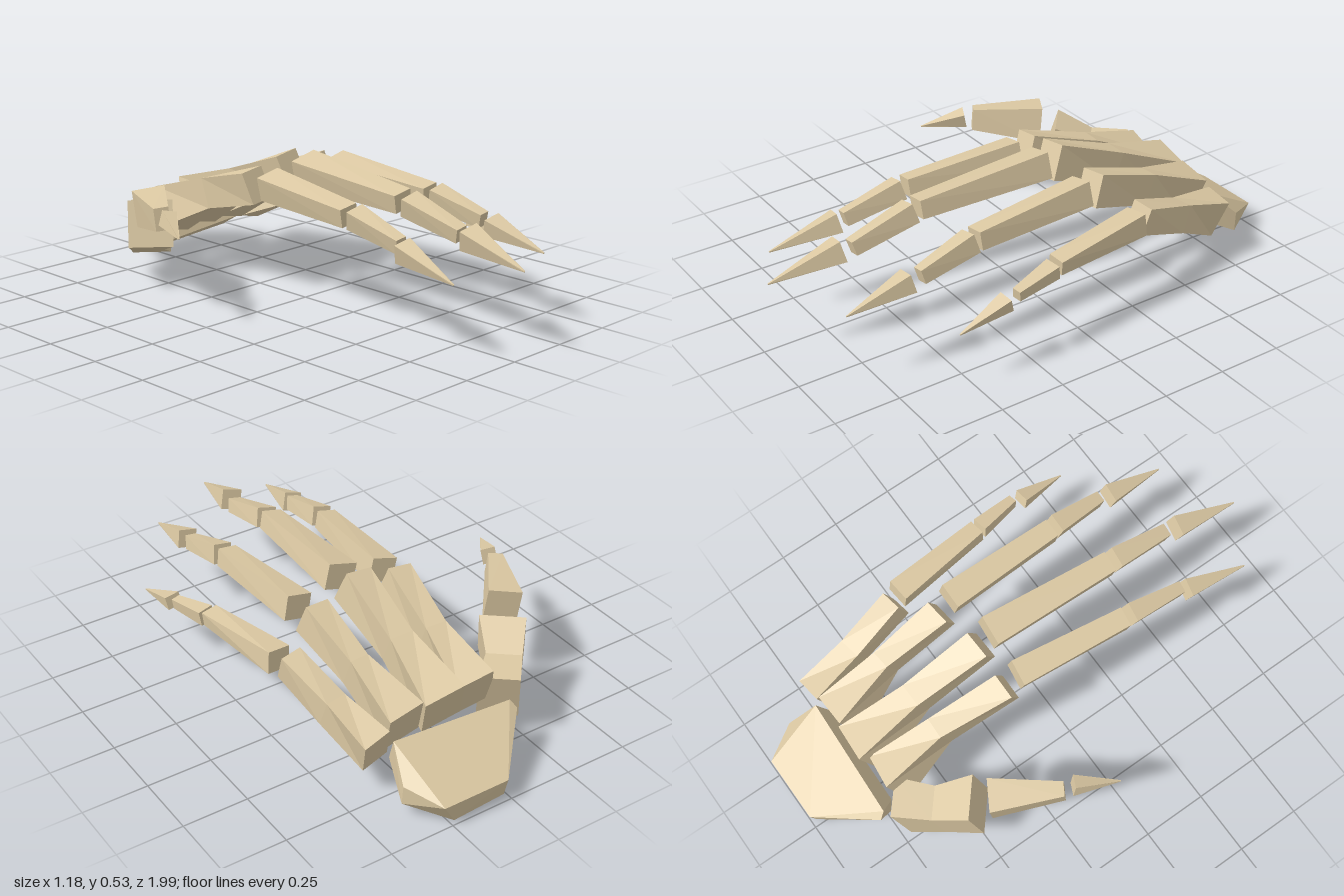
import * as THREE from 'three';
import { ConvexGeometry } from 'three/addons/geometries/ConvexGeometry.js';

const boneMaterial = new THREE.MeshStandardMaterial({ color: 0xdcc9a3, flatShading: true });
boneMaterial.name = 'bone';

// Four-sided loft; each section is [x, y, z, width, height, roll], set square to the bone
function bone(name, sections) {
  const centres = sections.map(s => new THREE.Vector3(s[0], s[1], s[2]));
  const dir = centres[centres.length - 1].clone().sub(centres[0]).normalize();
  const side = new THREE.Vector3(0, 1, 0).cross(dir).normalize();
  const up = dir.clone().cross(side);
  const rings = sections.map(([, , , w, h, roll = 0], i) =>
    [[1, 1], [-1, 1], [-1, -1], [1, -1]].map(([a, b]) => centres[i].clone().add(
      side.clone().multiplyScalar(a * w / 2).addScaledVector(up, b * h / 2).applyAxisAngle(dir, roll))));
  const points = [];
  const quad = (a, b, c, d) => points.push(a, b, c, a, c, d);
  for (let i = 0; i < rings.length - 1; i++) {
    for (let k = 0; k < 4; k++) {
      const n = (k + 1) % 4;
      quad(rings[i][k], rings[i][n], rings[i + 1][n], rings[i + 1][k]);
    }
  }
  const [p, q, r, s] = rings[0];
  quad(p, s, r, q);
  quad(...rings[rings.length - 1]);
  const geometry = new THREE.BufferGeometry().setFromPoints(points);
  geometry.computeVertexNormals();
  const mesh = new THREE.Mesh(geometry, boneMaterial);
  mesh.name = name;
  return mesh;
}

const T = 0.004; // blunt size of a pointed tip

// Bones of each digit, from the wrist outwards
const digits = {
  indexFinger: {
    metacarpal: [[-0.065, 0.23, -0.69, 0.145, 0.17, -0.22], [-0.055, 0.34, -0.45, 0.085, 0.12], [-0.085, 0.42, -0.17, 0.1, 0.125, 0.15]],
    proximalBone: [[-0.07, 0.43, -0.12, 0.1, 0.095, 0.25], [-0.115, 0.405, 0.335, 0.075, 0.07, 0.2]],
    middleBone: [[-0.115, 0.405, 0.36, 0.075, 0.075, 0.25], [-0.125, 0.35, 0.59, 0.045, 0.055, 0.2]],
    distalBone: [[-0.138, 0.338, 0.61, 0.07, 0.075, 0.25], [-0.173, 0.28, 0.87, T, T]],
  },
  middleFinger: {
    metacarpal: [[0.085, 0.235, -0.71, 0.16, 0.185, -0.2], [0.095, 0.355, -0.45, 0.095, 0.12], [0.09, 0.455, -0.16, 0.11, 0.135, 0.15]],
    proximalBone: [[0.11, 0.465, -0.115, 0.115, 0.1, 0.25], [0.085, 0.435, 0.41, 0.08, 0.07, 0.2]],
    middleBone: [[0.087, 0.43, 0.435, 0.08, 0.075, 0.25], [0.088, 0.365, 0.68, 0.05, 0.055, 0.2]],
    distalBone: [[0.077, 0.366, 0.72, 0.08, 0.08, 0.25], [0.05, 0.305, 0.99, T, T]],
  },
  ringFinger: {
    metacarpal: [[0.24, 0.225, -0.7, 0.14, 0.175, -0.2], [0.28, 0.335, -0.46, 0.075, 0.12], [0.29, 0.415, -0.2, 0.1, 0.125, 0.1]],
    proximalBone: [[0.315, 0.43, -0.15, 0.1, 0.095, 0.22], [0.33, 0.4, 0.325, 0.075, 0.07, 0.15]],
    middleBone: [[0.335, 0.4, 0.345, 0.075, 0.075, 0.2], [0.35, 0.345, 0.565, 0.045, 0.055, 0.15]],
    distalBone: [[0.343, 0.335, 0.605, 0.075, 0.07, 0.2], [0.34, 0.28, 0.85, T, T]],
  },
  littleFinger: {
    metacarpal: [[0.37, 0.185, -0.72, 0.11, 0.15, -0.25], [0.415, 0.255, -0.52, 0.085, 0.11], [0.45, 0.335, -0.3, 0.085, 0.105, -0.1]],
    proximalBone: [[0.475, 0.34, -0.275, 0.09, 0.085, 0.1], [0.522, 0.32, 0.12, 0.065, 0.055, -0.1]],
    middleBone: [[0.528, 0.312, 0.135, 0.062, 0.055, -0.1], [0.558, 0.285, 0.31, 0.035, 0.04, -0.1]],
    distalBone: [[0.552, 0.268, 0.345, 0.06, 0.05, -0.1], [0.565, 0.215, 0.545, T, T]],
  },
  thumb: {
    metacarpal: [[-0.165, 0.175, -0.7, 0.15, 0.21], [-0.265, 0.2, -0.6, 0.13, 0.16], [-0.345, 0.26, -0.485, 0.17, 0.18]],
    proximalBone: [[-0.37, 0.34, -0.45, 0.125, 0.14, 0.12], [-0.508, 0.36, -0.22, 0.055, 0.085, 0.1]],
    distalBone: [[-0.512, 0.37, -0.185, 0.055, 0.06, -0.2], [-0.592, 0.34, -0.03, T, T]],
  },
};

// Wrist block, convex and tapering towards the back
const wristPoints = [
  [-0.155, 0.215, -0.775], [0.325, 0.23, -0.755], [0.31, 0.125, -0.71], [-0.1, 0.085, -0.715],
  [-0.17, 0.19, -0.8], [-0.13, 0.065, -0.74], [0.36, 0.125, -0.865], [0.362, 0.05, -0.86],
  [0.02, 0.09, -1], [0.285, 0.09, -1], [0.02, 0.015, -0.98], [0.23, 0, -0.98],
];

export function createModel() {
  const hand = new THREE.Group();
  hand.name = 'skeletonHand';
  const wrist = new THREE.Mesh(
    new ConvexGeometry(wristPoints.map(p => new THREE.Vector3(...p))), boneMaterial);
  wrist.name = 'wrist';
  hand.add(wrist);
  for (const [digitName, bones] of Object.entries(digits)) {
    const digit = new THREE.Group();
    digit.name = digitName;
    for (const [boneName, sections] of Object.entries(bones)) digit.add(bone(boneName, sections));
    hand.add(digit);
  }
  return hand;
}
